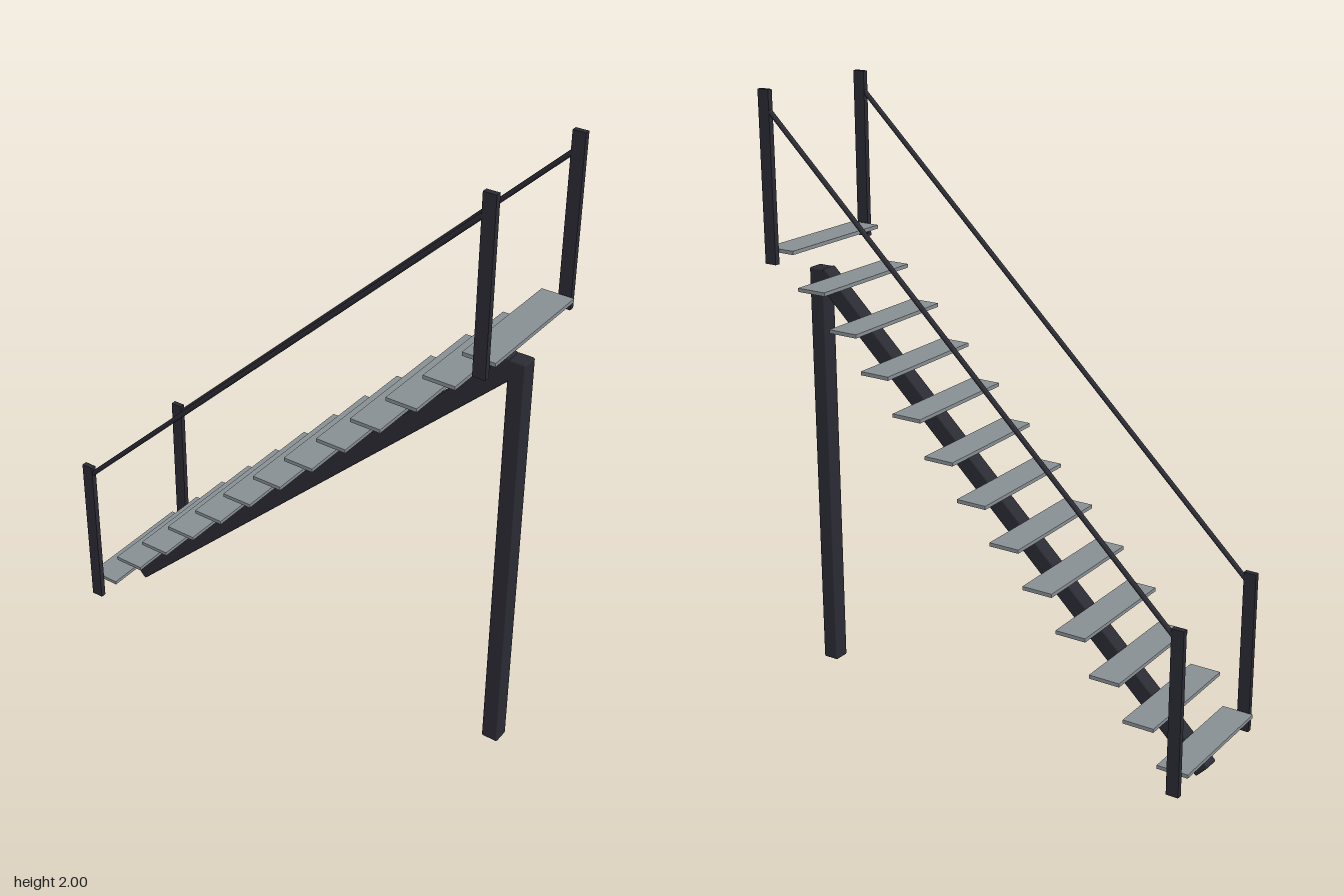
import * as THREE from 'three';
import { RoundedBoxGeometry } from 'three/addons/geometries/RoundedBoxGeometry.js';

export function createModel() {
  const model = new THREE.Group();
  model.name = 'staircase';
  const darkSteel = new THREE.MeshStandardMaterial({ color: 0x2b2b34 });
  darkSteel.name = 'darkSteel';
  const greyTread = new THREE.MeshStandardMaterial({ color: 0x899094 });
  greyTread.name = 'greyTread';

  const add = (name, geometry, material, x, y, z) => {
    const mesh = new THREE.Mesh(geometry, material);
    mesh.name = name;
    mesh.position.set(x, y, z);
    model.add(mesh);
    return mesh;
  };

  // Lay a part whose length runs along local z between two points
  const addBetween = (name, makeGeometry, material, a, b) => {
    const mid = a.clone().add(b).multiplyScalar(0.5);
    const mesh = add(name, makeGeometry(a.distanceTo(b)), material, mid.x, mid.y, mid.z);
    mesh.lookAt(b);
    return mesh;
  };

  // Floating treads
  const steps = 13;
  const treadGeometry = new THREE.BoxGeometry(0.434, 0.012, 0.104);
  for (let i = 0; i < steps; i++) {
    const t = i / (steps - 1);
    add('tread' + (i + 1), treadGeometry, greyTread,
      0, THREE.MathUtils.lerp(0.114, 1.498, t), THREE.MathUtils.lerp(-0.713, 0.714, t));
  }

  // Central support column
  add('column', new RoundedBoxGeometry(0.056, 1.396, 0.056, 2, 0.006), darkSteel, 0, 0.703, 0.729);

  // Single sloping stringer
  addBetween('stringer', (len) => new RoundedBoxGeometry(0.056, 0.06, len, 2, 0.006), darkSteel,
    new THREE.Vector3(0, 0.02, -0.717), new THREE.Vector3(0, 1.384, 0.718));

  // Posts and handrail on each side
  const postGeometry = new THREE.BoxGeometry(0.018, 0.542, 0.041);
  for (const side of [-1, 1]) {
    const label = side > 0 ? 'left' : 'right';
    const x = side * 0.234;
    add(label + 'LowerPost', postGeometry, darkSteel, x, 0.32, -0.728);
    add(label + 'UpperPost', postGeometry, darkSteel, x, 1.729, 0.732);
    addBetween(label + 'Handrail',
      (len) => new THREE.CylinderGeometry(0.008, 0.008, len, 12).rotateX(Math.PI / 2), darkSteel,
      new THREE.Vector3(x, 0.549, -0.728), new THREE.Vector3(x, 1.95, 0.732));
  }
  return model;
}
